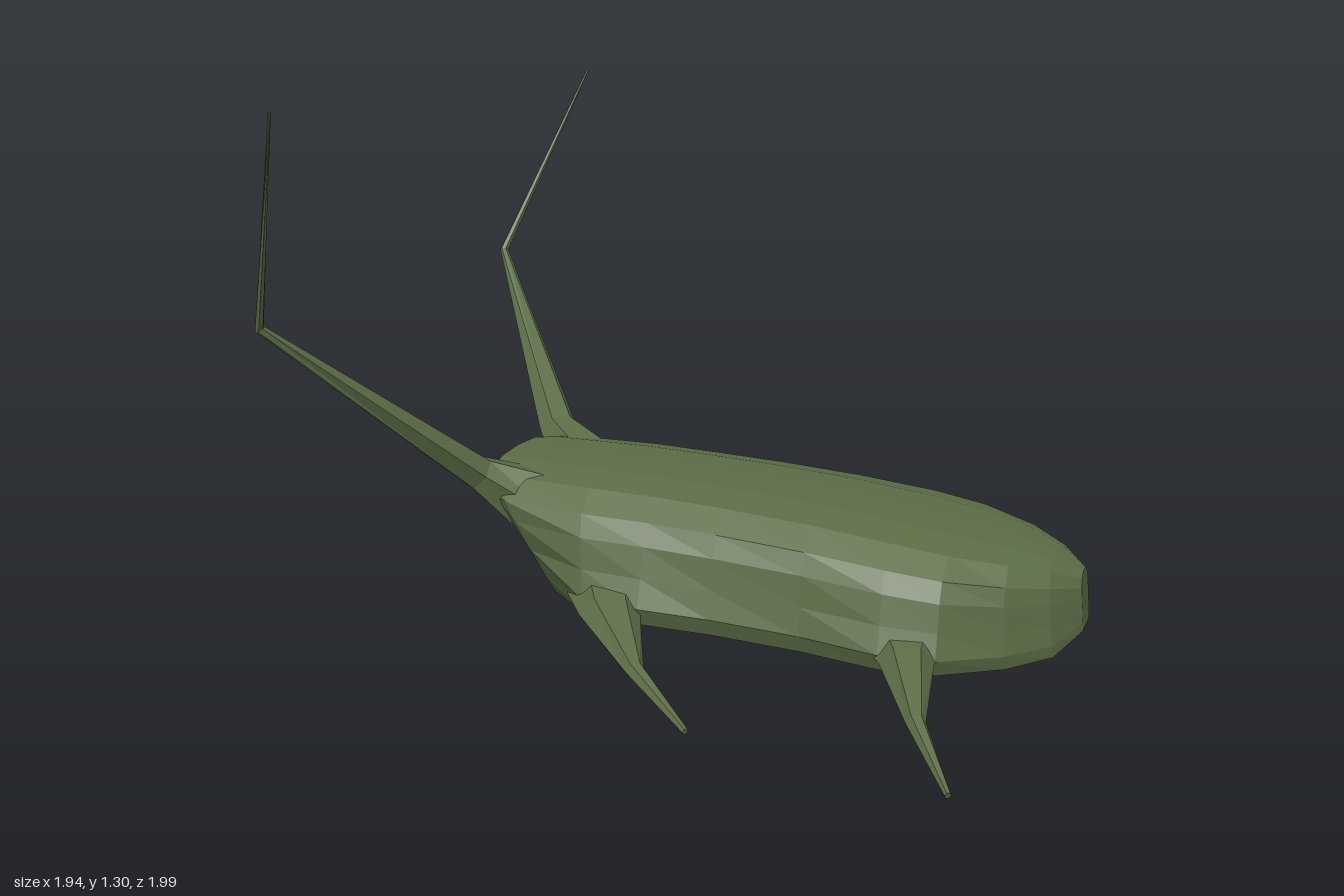
import * as THREE from 'three';

const material = new THREE.MeshStandardMaterial({ color: 0x5c6d47, flatShading: true });

// Skin a list of equal-length rings (clockwise seen from the far end) and close both ends.
function loft(rings, name) {
  const n = rings[0].length;
  const points = rings.flat();
  const index = [];
  for (let i = 0; i < rings.length - 1; i++) {
    for (let j = 0; j < n; j++) {
      const k = (j + 1) % n;
      const a = i * n + j, b = i * n + k, c = b + n, d = a + n;
      index.push(a, d, b, b, d, c);
    }
  }
  for (const end of [0, rings.length - 1]) {
    const centre = points.length;
    const mid = new THREE.Vector3();
    rings[end].forEach(p => mid.addScaledVector(p, 1 / n));
    points.push(mid);
    for (let j = 0; j < n; j++) {
      const a = end * n + j, b = end * n + (j + 1) % n;
      if (end === 0) index.push(centre, a, b);
      else index.push(centre, b, a);
    }
  }
  const geometry = new THREE.BufferGeometry().setFromPoints(points);
  geometry.setIndex(index);
  geometry.computeVertexNormals();
  const mesh = new THREE.Mesh(geometry, material);
  mesh.name = name;
  return mesh;
}

// Half cross-section of the body: width blend (0 top, 1 bottom), width share, height share.
const SECTION = [
  [0, 0, 1], [0, 0.42, 0.985], [0, 0.76, 0.92], [0, 0.97, 0.77], [0.3, 1, 0.6],
  [0.6, 1, 0.36], [1, 1, 0.14], [1, 0.95, 0], [1, 0, 0],
];

// Body stations: z at top, z at bottom, half width top, half width bottom, top y, bottom y.
const STATIONS = [
  [-0.47, -0.34, 0.23, 0.15, 0.44, 0.19],
  [-0.42, -0.28, 0.27, 0.24, 0.442, 0.165],
  [-0.20, -0.17, 0.29, 0.33, 0.437, 0.15],
  [-0.04, -0.04, 0.285, 0.34, 0.43, 0.145],
  [0.12, 0.12, 0.29, 0.325, 0.42, 0.135],
  [0.32, 0.32, 0.295, 0.32, 0.403, 0.12],
  [0.50, 0.50, 0.30, 0.345, 0.38, 0.11],
  [0.62, 0.62, 0.285, 0.325, 0.36, 0.105],
  [0.74, 0.75, 0.22, 0.235, 0.335, 0.105],
  [0.82, 0.84, 0.14, 0.15, 0.31, 0.115],
  [0.88, 0.89, 0.05, 0.05, 0.275, 0.15],
];

function makeBody() {
  const rings = STATIONS.map(([zTop, zBottom, wTop, wBottom, top, bottom]) => {
    const at = ([blend, wide, high], side) => new THREE.Vector3(
      side * wide * THREE.MathUtils.lerp(wTop, wBottom, blend),
      THREE.MathUtils.lerp(bottom, top, high),
      THREE.MathUtils.lerp(zBottom, zTop, high));
    const right = SECTION.map(p => at(p, 1));
    const left = SECTION.slice(1, -1).reverse().map(p => at(p, -1));
    return [...right, ...left];
  });
  return loft(rings, 'body');
}

// Tapering limb along joints [x, y, z, half width, half thickness].
function makeLimb(joints, side, name) {
  const path = joints.map(j => new THREE.Vector3(side * j[0], j[1], j[2]));
  const rings = path.map((p, i) => {
    const dir = path[Math.min(i + 1, path.length - 1)].clone()
      .sub(path[Math.max(i - 1, 0)]).normalize();
    const across = new THREE.Vector3(0, 1, 0).cross(dir).normalize();
    const up = dir.clone().cross(across);
    return [0, 1, 2, 3, 4, 5].map(k => {
      const a = k * Math.PI / 3 + Math.PI / 6;
      return p.clone()
        .addScaledVector(across, Math.sin(a) * joints[i][3])
        .addScaledVector(up, Math.cos(a) * joints[i][4]);
    });
  });
  return loft(rings, name);
}

const LIMBS = {
  FrontLeg: [
    [0.26, 0.145, 0.54, 0.09, 0.05], [0.35, 0.14, 0.565, 0.058, 0.042],
    [0.55, 0.095, 0.63, 0.021, 0.02], [0.71, 0.023, 0.73, 0.007, 0.008],
  ],
  BackLeg: [
    [0.26, 0.19, -0.13, 0.10, 0.05], [0.35, 0.175, -0.10, 0.068, 0.042],
    [0.54, 0.125, 0.03, 0.021, 0.02], [0.66, 0.057, 0.184, 0.007, 0.008],
  ],
  Feeler: [
    [0.15, 0.345, -0.35, 0.09, 0.09], [0.235, 0.43, -0.465, 0.048, 0.042],
    [0.621, 0.81, -0.782, 0.011, 0.011], [0.82, 1.285, -0.616, 0.003, 0.003],
  ],
};

export function createModel() {
  const creature = new THREE.Group();
  creature.name = 'creature';
  creature.add(makeBody());
  for (const [name, joints] of Object.entries(LIMBS)) {
    for (const side of [1, -1]) {
      creature.add(makeLimb(joints, side, (side > 0 ? 'left' : 'right') + name));
    }
  }
  // The creature stands turned, leaning slightly to one side.
  creature.rotation.set(0, 1.126, -0.018, 'YXZ');
  creature.position.z = 0.03;

  const model = new THREE.Group();
  model.name = 'model';
  model.add(creature);
  return model;
}
